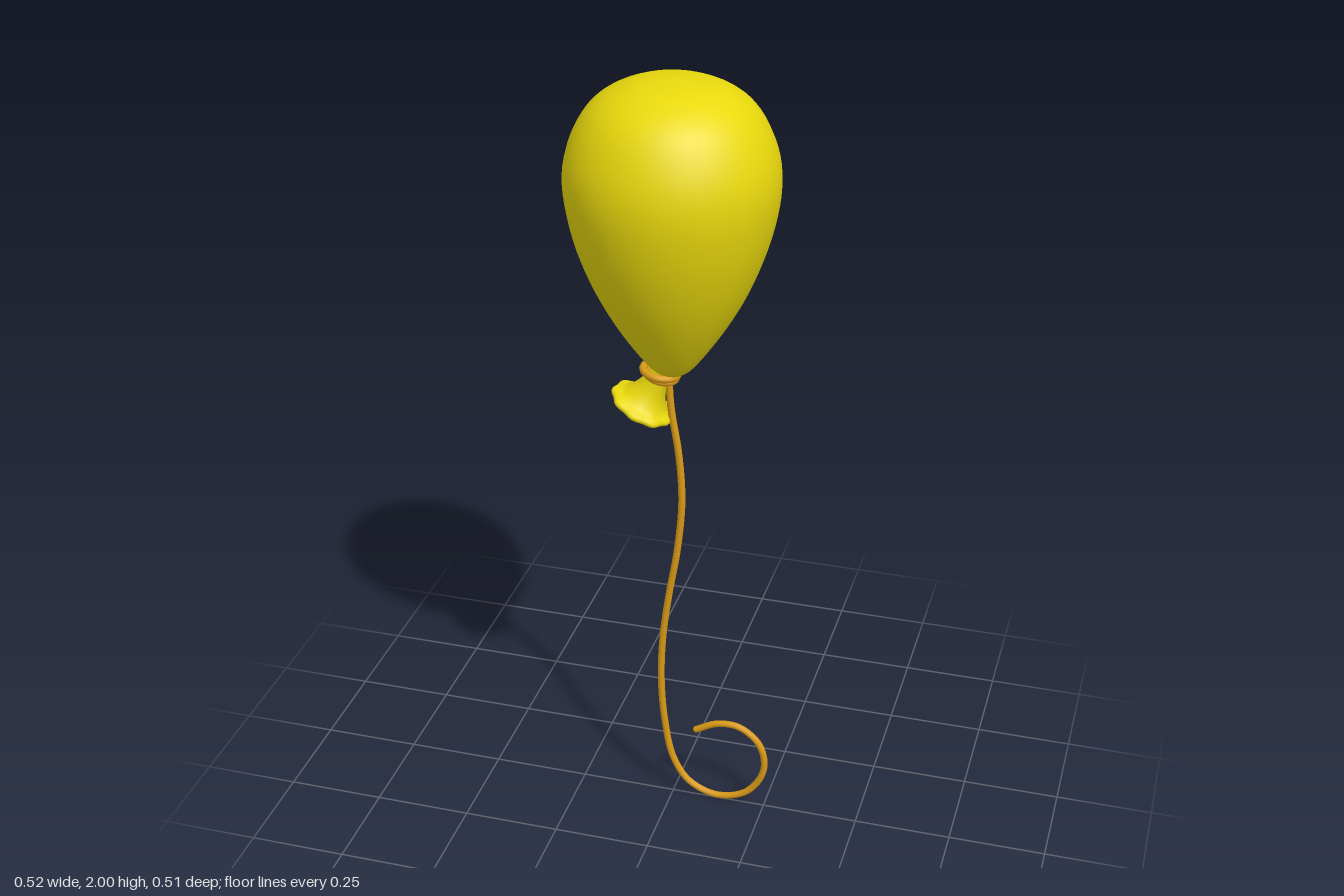
import * as THREE from 'three';

const CX = -0.003; // balloon axis
const V2 = (p) => new THREE.Vector2(...p);

// Smooth lathe through a few profile points [radius, y], listed bottom to top
function lathe(points, steps, segments) {
  const profile = new THREE.SplineCurve(points.map(V2)).getPoints(steps);
  profile.forEach((p) => { p.x = Math.max(p.x, 0); });
  return new THREE.LatheGeometry(profile, segments);
}

export function createModel() {
  const group = new THREE.Group();
  const rubber = new THREE.MeshStandardMaterial({ color: 0xe8d80c });
  const rubberOpen = new THREE.MeshStandardMaterial({ color: 0xe8d80c, side: THREE.DoubleSide });
  const cord = new THREE.MeshStandardMaterial({ color: 0xd99a16 });

  const add = (name, geometry, material) => {
    const mesh = new THREE.Mesh(geometry, material);
    mesh.name = name;
    group.add(mesh);
    return mesh;
  };

  // Inflated body, widest above the middle
  const body = add('balloonBody', lathe([
    [0, 1.25], [0.03, 1.258], [0.065, 1.29], [0.131, 1.385], [0.19, 1.495], [0.235, 1.62],
    [0.256, 1.745], [0.241, 1.845], [0.19, 1.935], [0.105, 1.985], [0, 2],
  ], 48, 40), rubber);
  body.position.x = CX;

  // Flared mouth hanging to one side; the rolled lip ripples gently
  const mouthGeometry = lathe([
    [0.071, -0.101], [0.077, -0.108], [0.081, -0.102], [0.077, -0.094],
    [0.058, -0.082], [0.041, -0.055], [0.031, -0.022], [0.027, 0.015],
  ], 32, 48);
  const position = mouthGeometry.attributes.position;
  for (let i = 0; i < position.count; i++) {
    const x = position.getX(i), y = position.getY(i), z = position.getZ(i);
    const flare = THREE.MathUtils.smoothstep(Math.hypot(x, z), 0.045, 0.08);
    const ripple = 1 + 0.035 * flare * Math.sin(9 * Math.atan2(z, x));
    position.setXYZ(i, x * ripple, y, z * ripple);
  }
  mouthGeometry.computeVertexNormals();
  const mouth = add('balloonMouth', mouthGeometry, rubberOpen);
  mouth.position.set(-0.033, 1.25, 0);
  mouth.rotation.z = -0.48;

  // Cord loops tied round the neck
  [[-0.032, 1.258, -0.16, 0.043], [-0.03, 1.247, -0.2, 0.036]].forEach(([x, y, tilt, r], i) => {
    const loop = add('neckTie' + (i + 1), new THREE.TorusGeometry(r, 0.01, 10, 32).rotateX(Math.PI / 2), cord);
    loop.position.set(x, y, 0);
    loop.rotation.z = tilt;
  });

  // Wavy string ending in a curl
  const path = new THREE.CatmullRomCurve3([
    [-0.012, 1.25], [-0.006, 1.16], [0.014, 1.03], [0.022, 0.9], [0.01, 0.755], [-0.011, 0.625],
    [-0.028, 0.49], [-0.033, 0.36], [-0.024, 0.23], [0, 0.11], [0.045, 0.04], [0.12, 0.01],
    [0.2, 0.035], [0.248, 0.115], [0.235, 0.195], [0.18, 0.241], [0.12, 0.241], [0.063, 0.212],
  ].map(([x, y]) => new THREE.Vector3(x, y, 0)));
  add('string', new THREE.TubeGeometry(path, 140, 0.009, 10), cord);

  // Rounded string ends
  [0, 1].forEach((t) => {
    add(t ? 'stringTip' : 'stringTop', new THREE.SphereGeometry(0.009, 10, 8), cord)
      .position.copy(path.getPoint(t));
  });

  return group;
}
